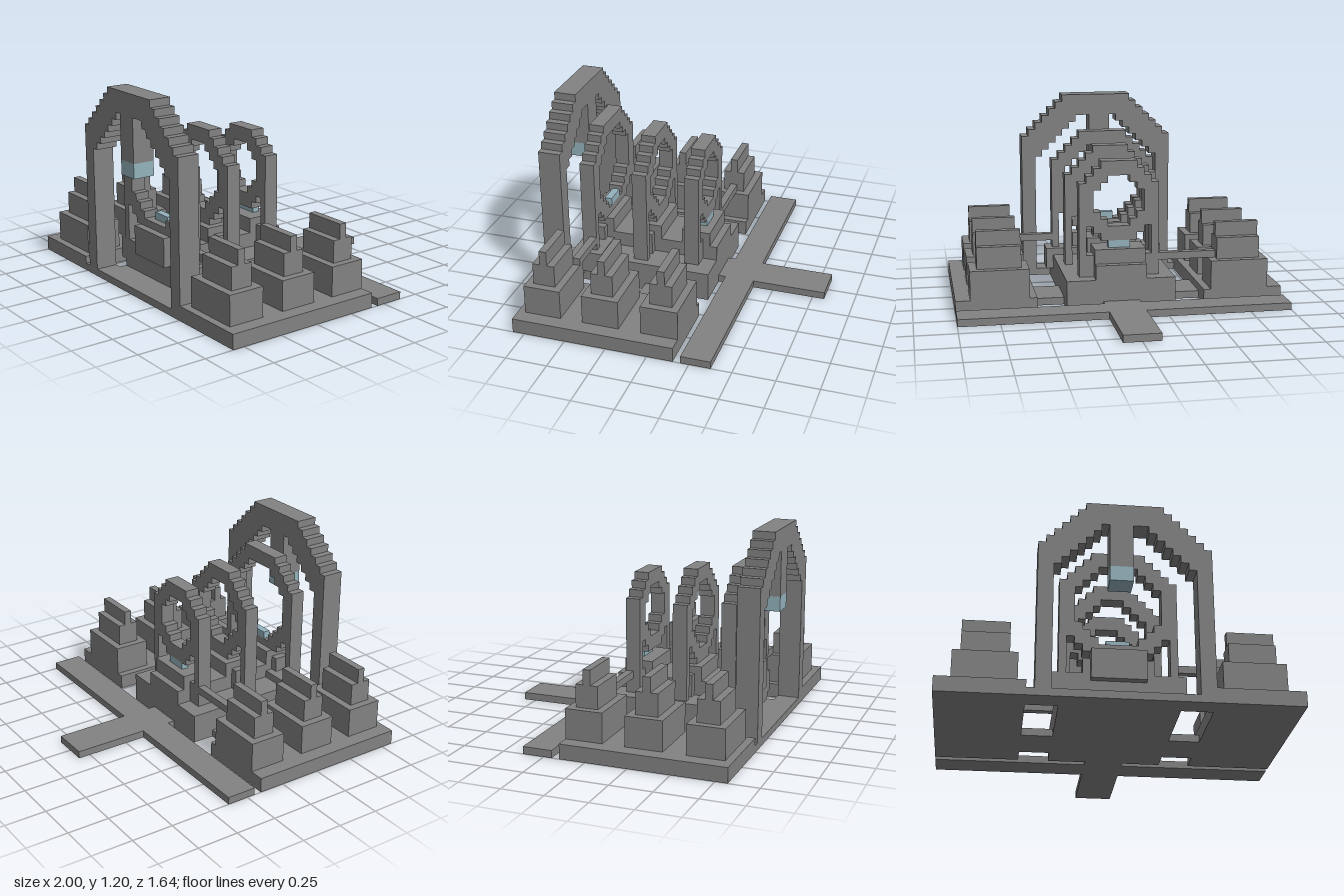
import * as THREE from 'three';

// All sizes are in grid cells: x 0..45, y 0..27, z 0..37
const CELL = 2 / 45;

export function createModel() {
  const stone = new THREE.MeshStandardMaterial({ color: 0x828282 });
  stone.name = 'grey stone';
  const glass = new THREE.MeshStandardMaterial({ color: 0x94b2bc });
  glass.name = 'pale blue glass';

  const model = new THREE.Group();
  model.name = 'ringGate';
  const grid = new THREE.Group();
  grid.name = 'cells';
  grid.scale.setScalar(CELL);
  grid.position.set(-1, 0, -18.5 * CELL);
  model.add(grid);

  const add = (name, geometry, material = stone) => {
    const mesh = new THREE.Mesh(geometry, material);
    mesh.name = name;
    grid.add(mesh);
    return mesh;
  };
  // Box between two grid corners
  const box = (name, x0, x1, y0, y1, z0, z1, material) =>
    add(name, new THREE.BoxGeometry(x1 - x0, y1 - y0, z1 - z0), material)
      .position.set((x0 + x1) / 2, (y0 + y1) / 2, (z0 + z1) / 2);

  // Insets of a stepped corner, from the upright side to the flat edge
  const corner = (n) => {
    const pts = [];
    for (let i = 0; i < n; i++) pts.push([i, n - i], [i + 1, n - i]);
    pts.push([n, 0]);
    return pts;
  };
  // Rectangle with stair-stepped corners
  const stepped = (x0, x1, y0, y1, low, high) => [
    ...corner(low).reverse().map(([a, b]) => new THREE.Vector2(x1 - a, y0 + b)),
    ...corner(high).map(([a, b]) => new THREE.Vector2(x1 - a, y1 - b)),
    ...corner(high).reverse().map(([a, b]) => new THREE.Vector2(x0 + a, y1 - b)),
    ...corner(low).map(([a, b]) => new THREE.Vector2(x0 + a, y0 + b)),
  ];
  const frame = (name, outer, inner, z0, z1) => {
    const shape = new THREE.Shape(outer);
    shape.holes.push(new THREE.Path(inner));
    add(name, new THREE.ExtrudeGeometry(shape, { depth: z1 - z0, bevelEnabled: false })).position.z = z0;
  };

  // Ground slabs, leaving a well on each side of the middle strip
  box('leftSideBase', 34, 45, 0, 2, 15, 37);
  box('rightSideBase', 0, 11, 0, 2, 15, 37);
  box('middleBase', 15, 30, 0, 2, 15, 33);
  box('middleBaseFront', 15, 30, 0, 1, 33, 34);
  box('leftFloor', 30, 34, 0, 1, 18, 24);
  box('rightFloor', 11, 15, 0, 1, 18, 24);

  // Cross path behind the base
  box('crossPath', 0, 45, 0, 1, 10, 14);
  box('pathEnd', 20, 25, 0, 1, 0, 10);
  box('pathLink', 20, 25, 0, 1, 14, 15);

  // Stepped pedestals, three on each side
  for (const z of [15, 23, 31]) {
    for (const x of [2, 35]) {
      box('pedestal', x, x + 8, 2, 6, z, z + 5);
      box('pedestalStep', x + 1, x + 7, 6, 9, z + 1, z + 4);
      box('pedestalRidge', x + 1, x + 7, 9, 11, z + 2, z + 3);
    }
  }

  // Front arch, its hanging pillar and glass tip
  frame('frontArch', stepped(12, 34, 0, 27, 0, 6), stepped(14, 32, 1, 24, 0, 6), 34, 37);
  box('archSill', 11, 12, 0, 1, 34, 37);
  box('hangingPillar', 21, 24, 18, 24, 34, 37);
  box('pillarGlass', 21, 24, 16, 18, 34, 37, glass);

  // Long plinth under the rings
  box('plinth', 15, 30, 2, 4, 15, 33);
  box('plinthSpine', 19, 26, 4, 6, 15, 33);
  box('frontPlinth', 14, 31, 2, 5, 30, 33);

  // Three rings shrinking toward the back, each on a block and two legs
  for (let k = 0; k < 3; k++) {
    const z = 31 - 7 * k, x0 = 15 + k, x1 = 30 - k, y0 = 7 + k, y1 = 22 - k;
    const cut = [4, 4, 3][k], holeCut = [3, 3, 2][k];
    frame('ring', stepped(x0, x1, y0, y1, cut, cut),
      stepped(x0 + 2, x1 - 2, y0 + 2, y1 - 2, holeCut, holeCut), z, z + 2);
    for (const x of [x0, x1 - 1]) box('ringLeg', x, x + 1, 4, y0 + cut, z, z + 2);
    box('ringBlock', 19, 26, 4, 8, z - 1, z + 3);
    box('ringFoot', 18, 27, 4, 7, z, z + 2);
  }
  box('frontRingGlass', 21, 24, 9, 10, 31, 32, glass);
  box('backRingGlass', 21, 24, 8, 9, 17, 18, glass);

  // Thin beams linking rings to pedestals
  box('rightBeam', 9, 17, 6, 7, 17, 18);
  box('leftBeam', 29, 36, 6, 7, 31, 32);

  return model;
}
